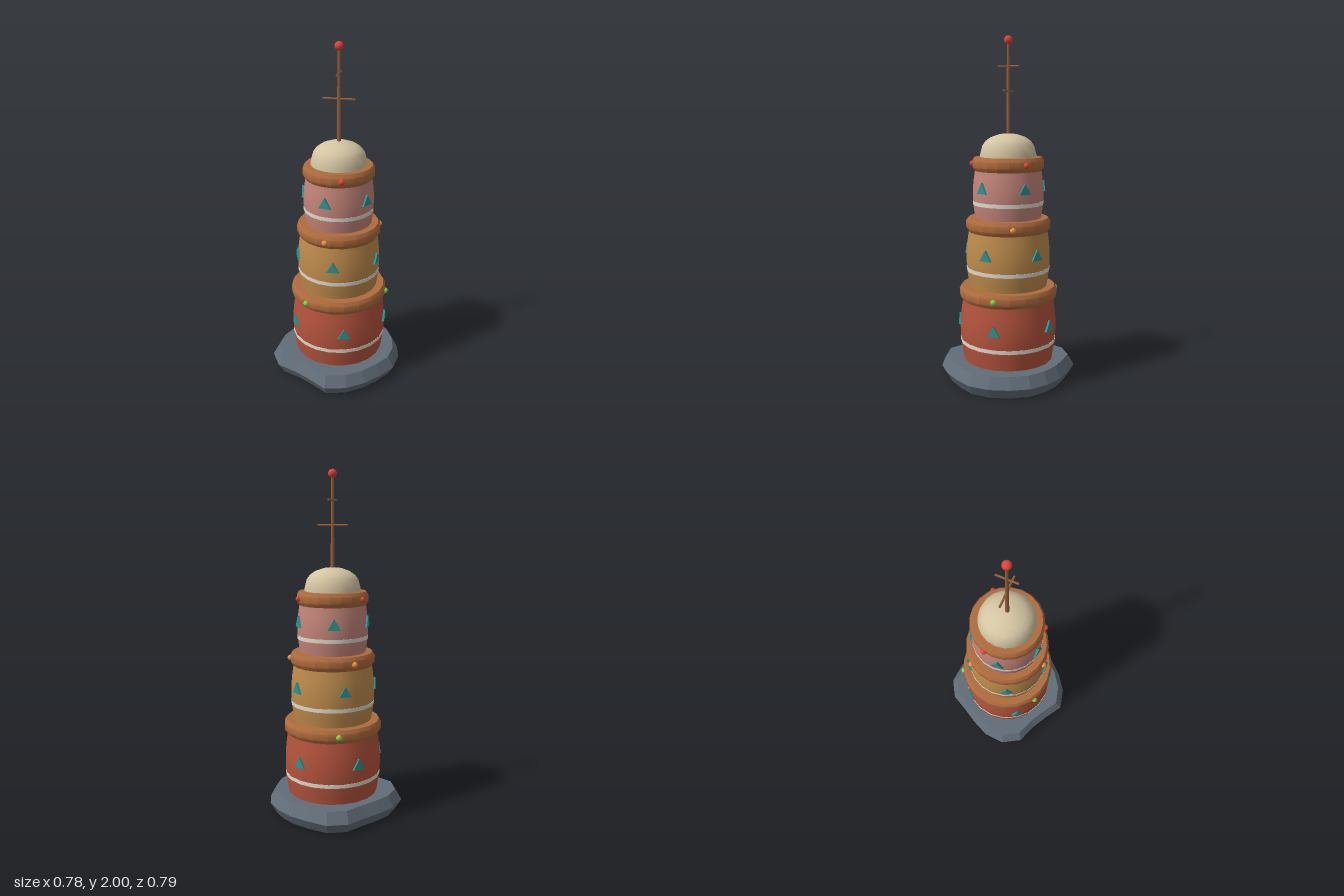
import * as THREE from 'three';
import { toCreasedNormals } from 'three/addons/utils/BufferGeometryUtils.js';

const SIDES = 20;
const mat = (color, flatShading = false) => new THREE.MeshStandardMaterial({ color, flatShading });

function add(parent, name, geometry, material, x = 0, y = 0, z = 0) {
  const mesh = new THREE.Mesh(geometry, material);
  mesh.name = name;
  mesh.position.set(x, y, z);
  parent.add(mesh);
  return mesh;
}

// Revolved profile of [radius, height] pairs, listed from bottom to top
function lathe(profile) {
  const points = profile.map(([r, y]) => new THREE.Vector2(r, y));
  return toCreasedNormals(new THREE.LatheGeometry(points, SIDES), 0.6);
}

// Irregular stone slab: one outline, narrowed at top and bottom
function slabGeometry() {
  const outline = [0.385, 0.379, 0.38, 0.369, 0.364, 0.368, 0.398, 0.39, 0.352, 0.358,
    0.389, 0.417, 0.409, 0.355, 0.358, 0.41, 0.398, 0.38, 0.373, 0.387];
  const n = outline.length;
  const rings = [[0.91, 0], [1, 0.06], [0.905, 0.125]];
  const pos = [0, 0, 0];
  for (const [scale, y] of rings) {
    outline.forEach((r, i) => {
      const a = (i / n) * Math.PI * 2;
      pos.push(r * scale * Math.cos(a), y, -r * scale * Math.sin(a));
    });
  }
  pos.push(0, 0.125, 0);
  const index = [];
  const top = 1 + 3 * n;
  for (let i = 0; i < n; i++) {
    const j = (i + 1) % n;
    for (let k = 0; k < 2; k++) {
      const a = 1 + k * n + i, b = 1 + k * n + j;
      index.push(a, b, b + n, a, b + n, a + n);
    }
    index.push(0, 1 + j, 1 + i);
    index.push(top, 1 + 2 * n + i, 1 + 2 * n + j);
  }
  const g = new THREE.BufferGeometry();
  g.setAttribute('position', new THREE.Float32BufferAttribute(pos, 3));
  g.setIndex(index);
  g.computeVertexNormals();
  return g;
}

export function createModel() {
  const model = new THREE.Group();
  model.name = 'tieredTower';
  const tower = new THREE.Group();
  tower.name = 'tower';
  tower.position.set(0.003, 0, -0.017);
  model.add(tower);

  const wood = mat(0xb06c3e);
  const white = mat(0xe0d8cc);
  const teal = mat(0x2f9494, true);
  const red = mat(0xe0433a);

  add(tower, 'stoneBase', slabGeometry(), mat(0x626d78, true));

  // Three barrel tiers, each with a band, rim, triangle inlays and studs
  const tiers = [
    { y0: 0.12, y1: 0.5, r: 0.285, rimY: 0.487, rimR: 0.288, bandY: 0.239, triY: 0.35, gemY: 0.528, color: 0xb5543d, gem: mat(0x7fd04c) },
    { y0: 0.56, y1: 0.9, r: 0.246, rimY: 0.889, rimR: 0.247, bandY: 0.668, triY: 0.768, gemY: 0.927, color: 0xbf8c4c, gem: mat(0xe8963a) },
    { y0: 0.955, y1: 1.25, r: 0.206, rimY: 1.24, rimR: 0.208, bandY: 1.055, triY: 1.14, gemY: 1.281, color: 0xc4857a, gem: red },
  ];
  const triangle = new THREE.CylinderGeometry(0.042, 0.042, 0.014, 3).rotateX(-Math.PI / 2);
  const stud = new THREE.SphereGeometry(0.017, 12, 8);

  tiers.forEach((t, level) => {
    const group = new THREE.Group();
    group.name = `tier${level + 1}`;
    tower.add(group);

    const radiusAt = (s) => t.r * (0.93 + 0.07 * Math.sin(Math.PI * s));
    const body = [[0, t.y0]];
    for (let i = 0; i <= 8; i++) body.push([radiusAt(i / 8), t.y0 + (t.y1 - t.y0) * i / 8]);
    body.push([0, t.y1]);
    add(group, 'barrel', lathe(body), mat(t.color));

    const bandR = radiusAt((t.bandY - t.y0) / (t.y1 - t.y0)) + 0.002;
    add(group, 'band', new THREE.CylinderGeometry(bandR, bandR, 0.022, SIDES), white, 0, t.bandY);

    const R = t.rimR, y = t.rimY;
    add(group, 'rim', lathe([[0, y], [R - 0.015, y], [R, y + 0.022], [R, y + 0.058],
      [R - 0.013, y + 0.079], [0, y + 0.079]]), wood);

    for (let i = 0; i < 5; i++) {
      const a = level * 0.25 + (i / 5) * Math.PI * 2;
      const inlay = add(group, 'triangleInlay', triangle, teal, t.r * Math.cos(a), t.triY, t.r * Math.sin(a));
      inlay.rotation.y = Math.PI / 2 - a;
    }
    for (let i = 0; i < 3; i++) {
      const a = level * -0.4 + (i / 3) * Math.PI * 2;
      add(group, 'stud', stud, t.gem, R * Math.cos(a), t.gemY, R * Math.sin(a));
    }
  });

  // Dome roof
  add(tower, 'dome', lathe([[0.163, 1.3], [0.162, 1.335], [0.149, 1.385], [0.129, 1.412],
    [0.1, 1.432], [0.052, 1.449], [0, 1.455]]), mat(0xd4c5a2));

  // Mast with two crossbars and a ball finial
  const mast = mat(0x96603c);
  add(tower, 'mast', new THREE.CylinderGeometry(0.008, 0.012, 0.54, 8), mast, 0, 1.705);
  const bar = (length) => new THREE.CylinderGeometry(0.006, 0.006, length, 6);
  add(tower, 'lowerCrossbar', bar(0.183).rotateZ(Math.PI / 2), mast, 0, 1.692);
  add(tower, 'upperCrossbar', bar(0.123).rotateX(Math.PI / 2), mast, 0, 1.83);
  add(tower, 'finial', new THREE.SphereGeometry(0.025, 16, 12), red, 0, 1.975);

  return model;
}
